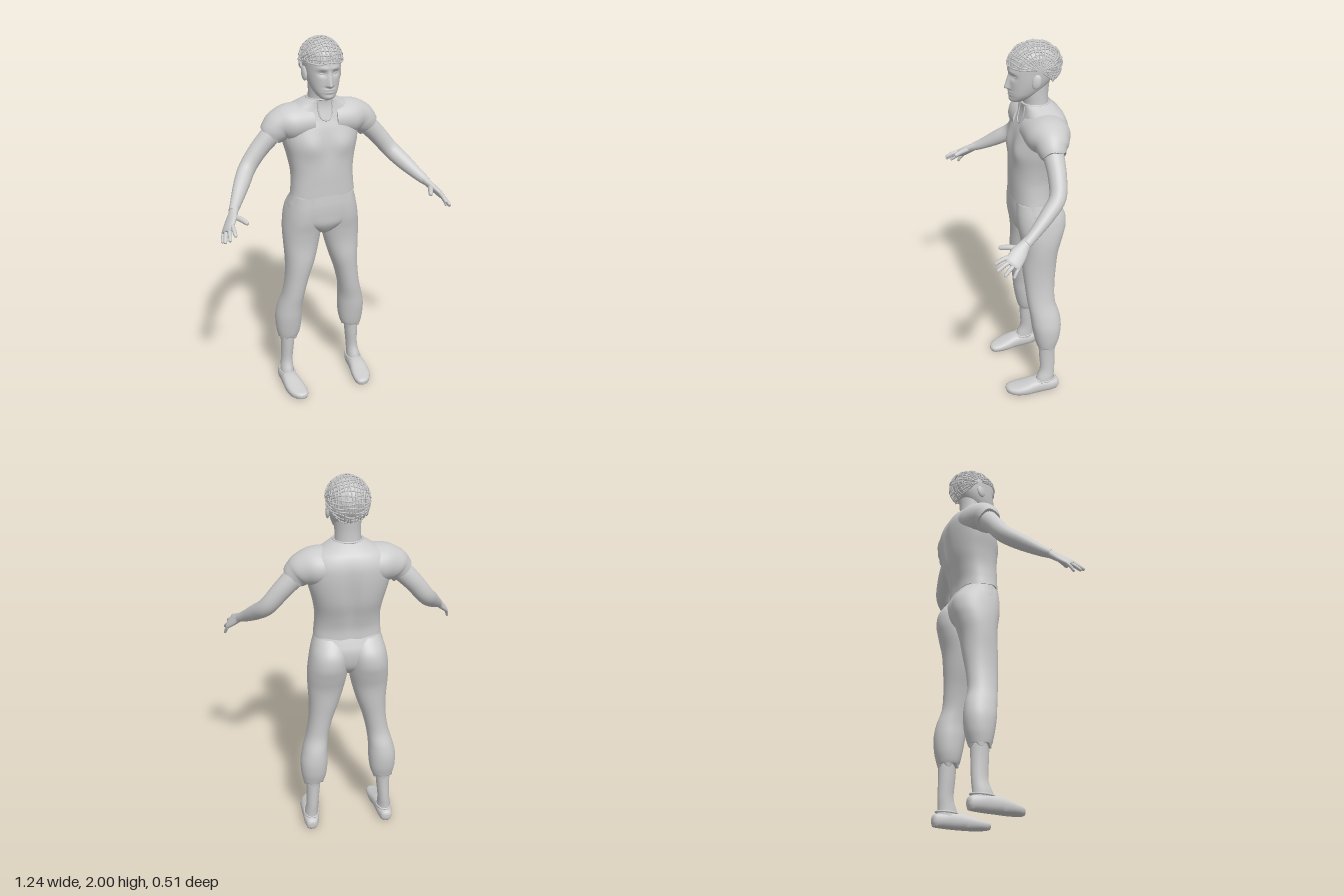
import * as THREE from 'three';

const skin = new THREE.MeshStandardMaterial({ color: 0xcccccc });
skin.name = 'light grey';
const V = (x, y, z) => new THREE.Vector3(x, y, z);
const UP = V(0, 1, 0), FRONT = V(0, 0, 1);
const bump = (d, w) => Math.exp(-(d * d) / (w * w));

// Catmull-Rom blend through rows of numbers
function smoothRows(rows, steps) {
  const out = [], last = rows.length - 1;
  for (let i = 0; i < last; i++) {
    const [a, b, c, d] = [i - 1, i, i + 1, i + 2].map(k => rows[Math.min(last, Math.max(0, k))]);
    for (let k = 0; k < steps; k++) {
      const t = k / steps;
      out.push(b.map((_, n) => b[n] + 0.5 * t * (c[n] - a[n] + t * (2 * a[n] - 5 * b[n] + 4 * c[n] - d[n]
        + t * (3 * (b[n] - c[n]) + d[n] - a[n])))));
    }
  }
  out.push(rows[last]);
  return out;
}

// Skin over rows [x, y, z, a, b]; b lies along ref, a across it. s = -1 mirrors.
function loft(name, rows, { axis = null, ref = FRONT, s = 1, seg = 24, steps = 5, n = 2, shape = null } = {}) {
  const secs = smoothRows(rows, steps), pos = [], idx = [];
  const centre = i => V(secs[i][0] * s, secs[i][1], secs[i][2]);
  const r = V(ref.x * s, ref.y, ref.z), m = secs.length;
  const round = c => Math.sign(c) * Math.abs(c) ** (2 / n);
  secs.forEach((q, i) => {
    const T = axis ? axis.clone() : centre(Math.min(m - 1, i + 1)).sub(centre(Math.max(0, i - 1))).normalize();
    const up = r.clone().addScaledVector(T, -r.dot(T)).normalize();
    const side = up.clone().cross(T);
    for (let j = 0; j < seg; j++) {
      const h = j / seg * Math.PI * 2;
      const p = centre(i).addScaledVector(side, Math.max(q[3], 0.0005) * round(Math.cos(h)))
        .addScaledVector(up, Math.max(q[4], 0.0005) * round(Math.sin(h)));
      if (shape) shape(p, i / (m - 1), h);
      pos.push(p.x, p.y, p.z);
    }
  });
  for (let i = 0; i < m - 1; i++) for (let j = 0; j < seg; j++) {
    const a = i * seg + j, b = i * seg + (j + 1) % seg;
    idx.push(a, b, a + seg, b, b + seg, a + seg);
  }
  // end caps with their own vertices
  for (const end of [0, m - 1]) {
    const base = pos.length / 3, c = centre(end);
    pos.push(...pos.slice(end * seg * 3, (end + 1) * seg * 3), c.x, c.y, c.z);
    for (let j = 0; j < seg; j++) {
      const a = base + j, b = base + (j + 1) % seg;
      idx.push(base + seg, ...(end ? [a, b] : [b, a]));
    }
  }
  const g = new THREE.BufferGeometry();
  g.setAttribute('position', new THREE.Float32BufferAttribute(pos, 3));
  g.setIndex(idx);
  g.computeVertexNormals();
  return part(name, g);
}

function part(name, geometry) {
  const mesh = new THREE.Mesh(geometry, skin);
  mesh.name = name;
  return mesh;
}

// Horizontal sections [y, x from, x to, z front, z back]
const level = rows => rows.map(([y, x0, x1, f, b]) => [(x0 + x1) / 2, y, (f + b) / 2, (x1 - x0) / 2, (f - b) / 2]);
const centred = rows => level(rows.map(([y, rx, f, b]) => [y, -rx, rx, f, b]));

function makeHead() {
  const head = new THREE.Group();
  head.name = 'head';
  // Face features are pushed out of the front of the skull
  const face = p => {
    if (p.z < -0.05) return;
    const x = Math.abs(p.x), f = Math.min(1, (p.z + 0.05) / 0.05);
    const ridge = p.y > 1.782 ? Math.max(0, 1 - (p.y - 1.782) / 0.075) : bump(p.y - 1.782, 0.008);
    p.z += f * (0.026 * ridge * bump(x, 0.008 + 0.007 * ridge)
      - 0.011 * bump(x - 0.034, 0.02) * bump(p.y - 1.842, 0.014)
      + 0.005 * bump(x - 0.03, 0.03) * bump(p.y - 1.866, 0.01)
      + 0.007 * bump(x, 0.026) * (bump(p.y - 1.762, 0.006) + bump(p.y - 1.748, 0.006))
      + 0.005 * bump(x, 0.025) * bump(p.y - 1.725, 0.012));
  };
  head.add(loft('skull', centred([
    [1.708, 0.012, 0.008, -0.03], [1.716, 0.035, 0.02, -0.05], [1.745, 0.06, 0.024, -0.1], [1.78, 0.075, 0.026, -0.15],
    [1.82, 0.085, 0.027, -0.185], [1.86, 0.09, 0.028, -0.205], [1.9, 0.092, 0.025, -0.212], [1.94, 0.085, 0.01, -0.2],
    [1.97, 0.06, -0.03, -0.168], [1.984, 0.03, -0.065, -0.13], [1.987, 0.001, -0.095, -0.1]]),
  { axis: UP, seg: 96, steps: 8, n: 2.15, shape: face }));
  head.add(loft('neck', centred([[1.6, 0.075, -0.03, -0.19], [1.66, 0.07, -0.04, -0.175], [1.7, 0.064, -0.045, -0.17],
    [1.75, 0.064, -0.035, -0.17], [1.8, 0.066, -0.03, -0.175]]), { axis: UP }));
  for (const s of [-1, 1]) {
    const ear = part('ear', new THREE.SphereGeometry(1, 16, 12).scale(0.011, 0.036, 0.023));
    ear.position.set(s * 0.092, 1.828, -0.085);
    ear.rotation.set(-0.2, s * -0.25, 0);
    const eye = part('eye', new THREE.SphereGeometry(1, 16, 12).scale(0.014, 0.007, 0.009));
    eye.position.set(s * 0.034, 1.842, 0.004);
    head.add(ear, eye);
  }
  // Hair: an open net of crossing strands over the scalp
  const hairPoint = (u, a, k) => {
    const w = 1 + 0.022 * Math.sin(k * 12.9 + a * 9 + u * 7);
    return V(0.105 * w * Math.sin(u), 1.885 + 0.112 * w * Math.cos(u) * Math.sin(a), -0.1 + 0.133 * w * Math.cos(u) * Math.cos(a));
  };
  const strand = (fn) => {
    const pts = Array.from({ length: 19 }, (_, i) => fn(i / 18));
    head.add(part('hairStrand', new THREE.TubeGeometry(new THREE.CatmullRomCurve3(pts), 36, 0.0038, 5)));
  };
  for (let i = 0; i < 19; i++) {
    const u = (i / 18 - 0.5) * 2.7;
    strand(t => hairPoint(u + 0.03 * Math.sin(t * 17 + i * 4), 0.04 + t * 3.95, i));
  }
  for (let i = 0; i < 22; i++) {
    const a = 0.06 + i / 21 * 3.9;
    strand(t => hairPoint((t - 0.5) * 2.85, a + 0.04 * Math.sin(t * 15 + i * 5), i + 0.5));
  }
  return head;
}

function makeShirt() {
  const shirt = new THREE.Group();
  shirt.name = 'shirt';
  // Chest, spine groove and uneven hem
  const muscle = (p, t, h) => {
    const x = Math.abs(p.x);
    if (p.z > -0.06) p.z += 0.014 * bump(x - 0.09, 0.06) * bump(p.y - 1.47, 0.06) - 0.006 * bump(x, 0.03) * bump(p.y - 1.46, 0.1);
    else if (p.z < -0.15) p.z += 0.014 * bump(x, 0.03) * bump(p.y - 1.42, 0.16);
    if (t < 0.02) p.y += 0.005 * Math.sin(h * 5);
  };
  const body = loft('torso', centred([
    [1.195, 0.174, 0.022, -0.195], [1.25, 0.168, 0.022, -0.197], [1.32, 0.167, 0.022, -0.215], [1.4, 0.18, 0.019, -0.24],
    [1.48, 0.2, 0.012, -0.253], [1.55, 0.21, -0.003, -0.258], [1.6, 0.205, -0.022, -0.254], [1.645, 0.175, -0.036, -0.236],
    [1.675, 0.12, -0.04, -0.208], [1.698, 0.076, -0.038, -0.178]]),
  { axis: UP, seg: 64, steps: 6, n: 2.4, shape: muscle });
  shirt.add(body);
  for (const s of [-1, 1]) shirt.add(loft('sleeve', [
    [0.06, 1.58, -0.125, 0.09, 0.115], [0.16, 1.575, -0.125, 0.096, 0.112], [0.215, 1.562, -0.124, 0.086, 0.09],
    [0.245, 1.542, -0.12, 0.075, 0.073], [0.268, 1.518, -0.12, 0.064, 0.06]],
  { s, seg: 36, shape: (p, t, h) => { if (t > 0.98) p.y += 0.005 * Math.sin(h * 4); } }));
  // Neckline: a deep U opening laid on the chest, joined to the collar
  const ray = new THREE.Raycaster();
  const onChest = (x, y) => {
    ray.set(V(x, y, 1), V(0, 0, -1));
    const hit = ray.intersectObject(body)[0];
    return V(x, y, hit ? hit.point.z : -0.04);
  };
  const half = [[0.036, 1.69], [0.038, 1.66], [0.034, 1.625], [0.022, 1.602]];
  const edge = [...half.map(([x, y]) => onChest(-x, y)), onChest(0, 1.594), ...half.reverse().map(([x, y]) => onChest(x, y))];
  shirt.add(part('neckOpeningEdge', new THREE.TubeGeometry(new THREE.CatmullRomCurve3(edge), 40, 0.004, 6)));
  const collar = part('collar', new THREE.TorusGeometry(0.072, 0.005, 8, 40));
  collar.rotation.x = Math.PI / 2;
  collar.position.set(0, 1.698, -0.108);
  shirt.add(collar);
  return shirt;
}

function makeArm(s) {
  const arm = new THREE.Group();
  arm.name = s > 0 ? 'leftArm' : 'rightArm';
  arm.add(loft('armSkin', [
    [0.23, 1.555, -0.12, 0.05, 0.05], [0.268, 1.518, -0.12, 0.052, 0.05], [0.335, 1.448, -0.118, 0.048, 0.045],
    [0.4, 1.368, -0.1, 0.045, 0.041], [0.45, 1.312, -0.036, 0.042, 0.037], [0.5, 1.258, 0.04, 0.031, 0.028],
    [0.532, 1.228, 0.09, 0.023, 0.024]], { s }));
  const across = V(-0.53, 0.6, 0.6);
  arm.add(loft('palm', [
    [0.522, 1.238, 0.075, 0.022, 0.025], [0.535, 1.222, 0.1, 0.02, 0.028], [0.557, 1.198, 0.132, 0.018, 0.039],
    [0.583, 1.17, 0.165, 0.015, 0.041], [0.591, 1.161, 0.176, 0.009, 0.034]], { s, ref: across }));
  const finger = (name, a, b, c, r) => arm.add(loft(name,
    [[...a, r, r], [...b, r, r], [...b.map((v, i) => v + (c[i] - v) * 0.85), r * 0.8, r * 0.8], [...c, r * 0.25, r * 0.25]],
    { s, seg: 12, ref: across }));
  const tips = [[0.565, 1.165, 0.25], [0.592, 1.143, 0.246], [0.611, 1.122, 0.215], [0.615, 1.106, 0.172]];
  tips.forEach((tip, i) => {
    const k = 0.034 - 0.0225 * i;
    const root = [0.58 + across.x * k, 1.172 + across.y * k, 0.162 + across.z * k];
    finger('finger', root, root.map((v, n) => (v + tip[n]) / 2 + (n === 1 ? 0.004 : 0)), tip, i === 3 ? 0.0085 : 0.0105);
  });
  finger('thumb', [0.54, 1.213, 0.115], [0.513, 1.212, 0.168], [0.492, 1.204, 0.211], 0.013);
  return arm;
}

function makeLeg(s) {
  const leg = new THREE.Group();
  leg.name = s > 0 ? 'leftLeg' : 'rightLeg';
  // Loose trouser leg gathered at a ragged cuff
  leg.add(loft('trouserLeg', level([
    [0.305, 0.142, 0.25, -0.082, -0.185], [0.33, 0.13, 0.256, -0.073, -0.193], [0.38, 0.12, 0.263, -0.062, -0.206],
    [0.45, 0.115, 0.263, -0.05, -0.212], [0.52, 0.114, 0.248, -0.042, -0.204], [0.6, 0.104, 0.225, -0.03, -0.182],
    [0.7, 0.08, 0.21, -0.02, -0.183], [0.8, 0.047, 0.207, -0.012, -0.193], [0.9, 0.02, 0.212, -0.013, -0.205],
    [0.98, 0.005, 0.213, -0.005, -0.228], [1.05, 0.002, 0.206, 0.008, -0.246], [1.12, 0.002, 0.192, 0.013, -0.238],
    [1.19, 0.01, 0.168, 0.01, -0.185]]),
  { s, axis: UP, seg: 36, n: 2.15, shape: (p, t, h) => { if (t < 0.03) p.y += 0.012 * Math.sin(h * 5); } }));
  leg.add(loft('ankle', [
    [0.21, 0.04, -0.12, 0.04, 0.056], [0.21, 0.09, -0.126, 0.037, 0.05], [0.205, 0.15, -0.138, 0.033, 0.042],
    [0.199, 0.25, -0.136, 0.037, 0.045], [0.197, 0.37, -0.135, 0.045, 0.05]], { s, axis: UP }));
  // Flat-soled slipper, toe turned slightly inward
  leg.add(loft('shoe', [
    [0.216, 0.035, -0.203, 0.012, 0.012], [0.215, 0.035, -0.192, 0.03, 0.03], [0.213, 0.036, -0.15, 0.042, 0.037],
    [0.211, 0.038, -0.1, 0.045, 0.042], [0.209, 0.036, -0.05, 0.05, 0.041], [0.204, 0.03, 0.0, 0.054, 0.033],
    [0.197, 0.025, 0.05, 0.05, 0.024], [0.189, 0.023, 0.085, 0.035, 0.018], [0.186, 0.022, 0.1, 0.012, 0.009]],
  { s, axis: FRONT, ref: UP, n: 2.5, shape: p => { p.y = Math.max(0, p.y < 0.012 ? p.y * 0.5 : p.y); } }));
  const rim = part('shoeRim', new THREE.TorusGeometry(1, 0.1, 8, 32).scale(0.041, 0.062, 0.05));
  rim.rotation.x = Math.PI / 2 + 0.05;
  rim.position.set(s * 0.21, 0.074, -0.122);
  leg.add(rim);
  return leg;
}

export function createModel() {
  const model = new THREE.Group();
  model.name = 'standingFigure';
  model.add(makeHead(), makeShirt());
  model.add(loft('trouserSeat', centred([
    [0.962, 0.02, -0.04, -0.12], [0.985, 0.07, -0.015, -0.16], [1.03, 0.15, 0.012, -0.2], [1.08, 0.19, 0.018, -0.216],
    [1.13, 0.189, 0.02, -0.218], [1.17, 0.178, 0.018, -0.205], [1.215, 0.166, 0.014, -0.186]]),
  { axis: UP, seg: 48, n: 2.3 }));
  for (const s of [-1, 1]) model.add(makeArm(s), makeLeg(s));
  return model;
}
